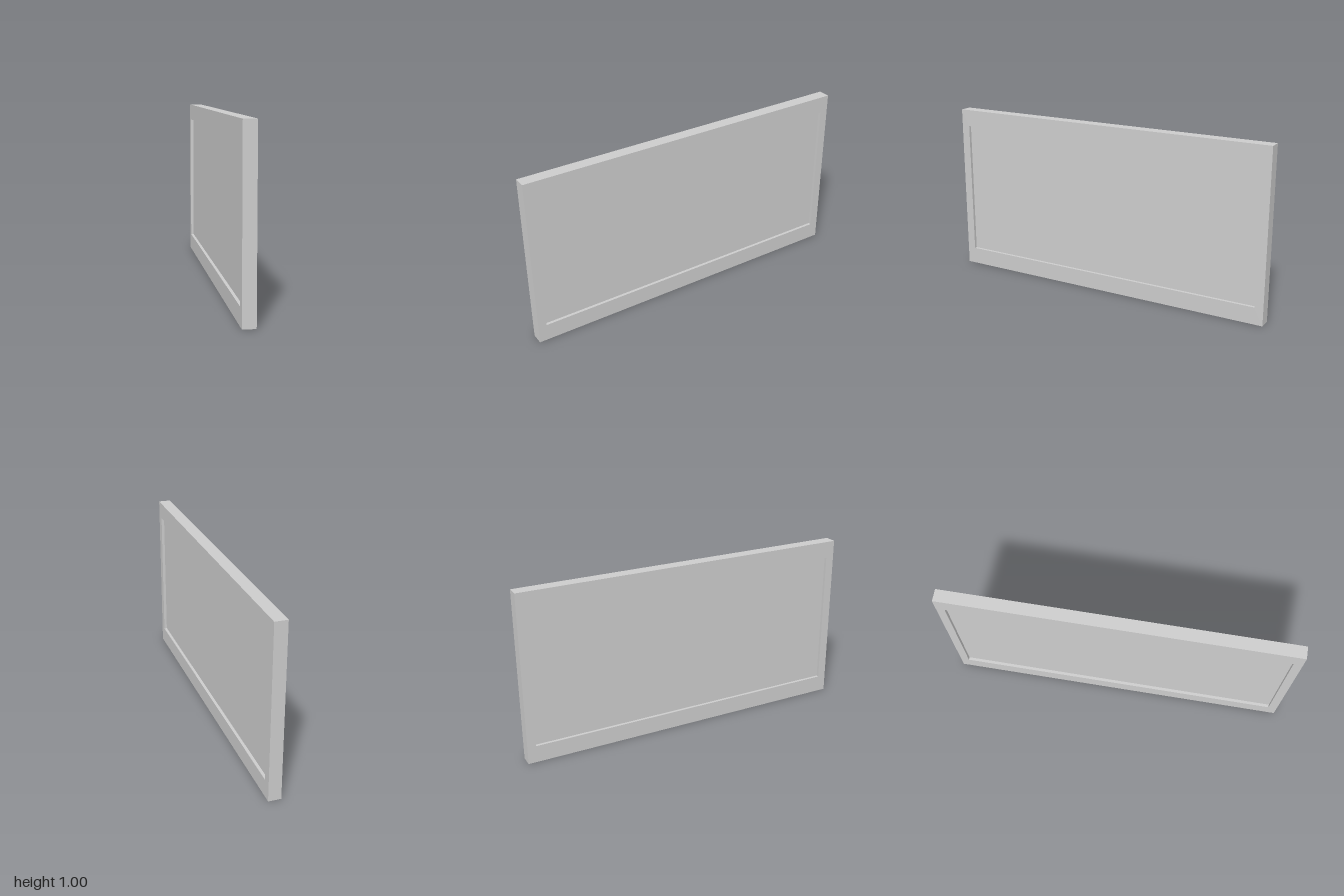
import * as THREE from 'three';

const LENGTH = 2, HEIGHT = 1, THICKNESS = 0.072;
const STILE = 0.05, RAIL = 0.1, RECESS = 0.017;

// Rectangle centred on the origin
function rectangle(PathType, w, h) {
  return new PathType([
    new THREE.Vector2(-w / 2, -h / 2),
    new THREE.Vector2(w / 2, -h / 2),
    new THREE.Vector2(w / 2, h / 2),
    new THREE.Vector2(-w / 2, h / 2),
  ]);
}

export function createModel() {
  const group = new THREE.Group();
  group.name = 'framedPanel';
  const material = new THREE.MeshStandardMaterial({ color: 0xcccccc });
  const innerLength = LENGTH - 2 * STILE;
  const innerHeight = HEIGHT - 2 * RAIL;

  // Outer frame: narrow upright stiles, wider top and bottom rails
  const outline = rectangle(THREE.Shape, LENGTH, HEIGHT);
  outline.holes.push(rectangle(THREE.Path, innerLength, innerHeight));
  const frameGeometry = new THREE.ExtrudeGeometry(outline, { depth: THICKNESS, bevelEnabled: false });
  frameGeometry.translate(0, 0, -THICKNESS / 2).rotateY(Math.PI / 2);
  const frame = new THREE.Mesh(frameGeometry, material);
  frame.name = 'frame';

  // Thinner panel, recessed on both faces
  const panel = new THREE.Mesh(
    new THREE.BoxGeometry(THICKNESS - 2 * RECESS, innerHeight, innerLength), material);
  panel.name = 'recessedPanel';

  for (const part of [frame, panel]) {
    part.position.y = HEIGHT / 2;
    group.add(part);
  }
  return group;
}
